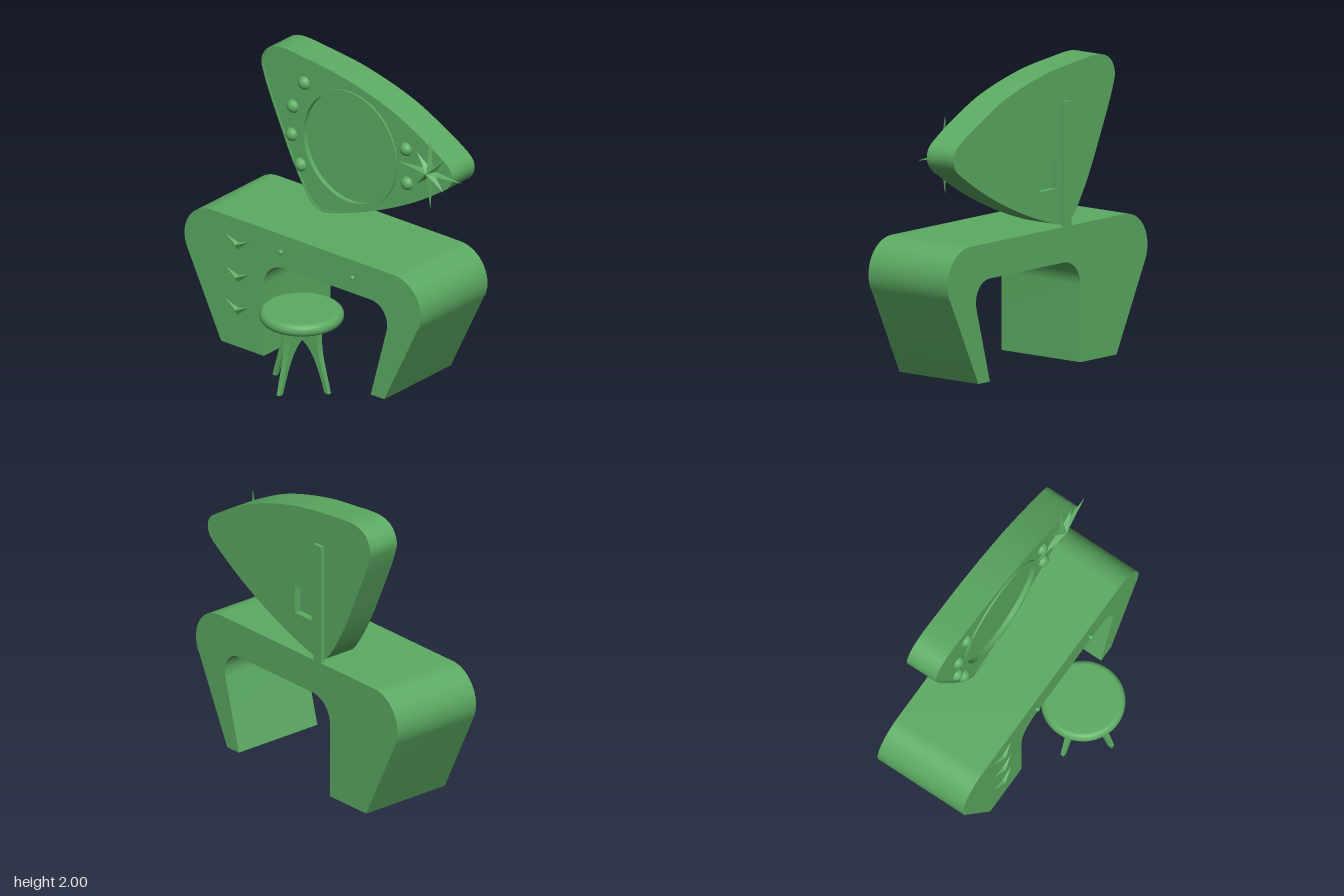
import * as THREE from 'three';
import { toCreasedNormals } from 'three/addons/utils/BufferGeometryUtils.js';

const material = new THREE.MeshStandardMaterial({ color: 0x5cab62 });

function add(parent, name, geometry, x = 0, y = 0, z = 0) {
  const mesh = new THREE.Mesh(geometry, material);
  mesh.name = name;
  mesh.position.set(x, y, z);
  parent.add(mesh);
  return mesh;
}

// Extrude a shape from z0 to z1, smooth on curves and sharp on corners
function slab(shape, z0, z1) {
  const g = new THREE.ExtrudeGeometry(shape, { depth: z1 - z0, bevelEnabled: false, curveSegments: 32 });
  g.translate(0, 0, z0);
  return toCreasedNormals(g, 0.5);
}

// Faceted low pyramid over a counter-clockwise outline, with a flat back
function facetedPyramid(outline, apex) {
  const v = [];
  outline.forEach(([x, y], i) => {
    const [nx, ny] = outline[(i + 1) % outline.length];
    v.push(x, y, 0, nx, ny, 0, ...apex);
    v.push(nx, ny, 0, x, y, 0, apex[0], apex[1], 0);
  });
  const g = new THREE.BufferGeometry();
  g.setAttribute('position', new THREE.Float32BufferAttribute(v, 3));
  g.computeVertexNormals();
  return g;
}

function buildDesk() {
  const desk = new THREE.Group();
  desk.name = 'desk';
  const s = new THREE.Shape();
  s.moveTo(-0.69, 0);
  s.lineTo(-0.33, 0);
  s.lineTo(-0.33, 0.51);
  s.absarc(-0.16, 0.51, 0.17, Math.PI, Math.PI / 2, true);
  s.lineTo(0.575, 0.68);
  s.bezierCurveTo(0.67, 0.68, 0.735, 0.59, 0.708, 0.49);
  s.lineTo(0.575, 0);
  s.lineTo(0.69, 0);
  s.lineTo(0.975, 0.588);
  s.absarc(0.77, 0.685, 0.23, -0.44, Math.PI / 2, false);
  s.lineTo(-0.77, 0.915);
  s.absarc(-0.77, 0.685, 0.23, Math.PI / 2, Math.PI + 0.44, false);
  s.closePath();
  add(desk, 'deskBody', slab(s, -0.557, 0.115));

  // Chevron drawer pulls
  const chevron = [[-0.1, 0.03], [-0.05, -0.012], [0, -0.055], [0.05, -0.012], [0.1, 0.03], [0.045, 0.012], [0, 0]];
  const pull = facetedPyramid(chevron, [0, -0.018, 0.024]);
  for (const y of [0.752, 0.517, 0.283]) add(desk, 'drawerPull', pull, -0.55, y, 0.115);

  // Round knobs on short necks
  for (const x of [-0.173, 0.433]) {
    add(desk, 'knob', new THREE.SphereGeometry(0.017, 20, 14), x, 0.797, 0.13);
    add(desk, 'knobNeck', new THREE.CylinderGeometry(0.008, 0.008, 0.02, 12).rotateX(Math.PI / 2), x, 0.797, 0.118);
  }
  return desk;
}

function buildMirror() {
  const mirror = new THREE.Group();
  mirror.name = 'mirror';
  const cx = 0.04, cy = 1.45;
  const points = [
    [-0.565, 1.995], [-0.655, 1.955], [-0.703, 1.865], [-0.68, 1.76], [-0.56, 1.475], [-0.42, 1.18],
    [-0.295, 0.983], [-0.25, 0.94], [-0.195, 0.924], [-0.125, 0.935], [0.1, 1.006], [0.35, 1.108],
    [0.6, 1.235], [0.81, 1.368], [0.885, 1.425], [0.912, 1.49], [0.895, 1.553], [0.835, 1.602],
    [0.62, 1.725], [0.38, 1.835], [0.01, 1.937], [-0.28, 1.978],
  ].map(([x, y]) => new THREE.Vector3(x, y, 0));
  const curve = new THREE.CatmullRomCurve3(points, true);
  // Sampled outline, moved inwards by d
  const outline = (d) => {
    const list = [];
    for (let i = 0; i < 140; i++) {
      const p = curve.getPointAt(i / 140), t = curve.getTangentAt(i / 140);
      list.push(new THREE.Vector2(p.x - t.y * d, p.y + t.x * d));
    }
    return list;
  };

  // Back layer with a rectangular pocket
  const back = new THREE.Shape(outline(0));
  back.holes.push(new THREE.Path([[-0.12, 1.17], [-0.12, 1.36], [0.045, 1.36], [0.045, 1.17]]
    .map(([x, y]) => new THREE.Vector2(x, y))));
  add(mirror, 'backPanel', slab(back, -0.533, -0.485));
  add(mirror, 'panelCore', slab(new THREE.Shape(outline(0)), -0.485, -0.336));

  // Front layer with the round opening, and a thin raised rim
  const front = new THREE.Shape(outline(0));
  const opening = new THREE.Path();
  opening.absarc(cx, cy, 0.385, 0, Math.PI * 2, true);
  front.holes.push(opening);
  add(mirror, 'frontPanel', slab(front, -0.336, -0.313));
  const rim = new THREE.Shape(outline(0));
  rim.holes.push(new THREE.Path(outline(0.012).reverse()));
  add(mirror, 'rim', slab(rim, -0.313, -0.306));

  add(mirror, 'mirrorGlass', new THREE.CircleGeometry(0.386, 64), cx, cy, -0.333);
  const ring = new THREE.Shape();
  ring.absarc(0, 0, 0.405, 0, Math.PI * 2, false);
  const ringHole = new THREE.Path();
  ringHole.absarc(0, 0, 0.382, 0, Math.PI * 2, true);
  ring.holes.push(ringHole);
  add(mirror, 'mirrorRing', slab(ring, -0.334, -0.3), cx, cy, 0);

  // Light bulbs either side of the glass
  const bulbs = [[-0.345, 1.8], [-0.44, 1.605], [-0.45, 1.4], [-0.375, 1.205], [0.517, 1.587], [0.526, 1.345]];
  for (const [x, y] of bulbs) add(mirror, 'bulb', new THREE.SphereGeometry(0.048, 28, 20), x, y, -0.321);

  // Eight-pointed starburst
  const star = [];
  for (let i = 0; i < 16; i++) {
    const r = i % 2 ? 0.05 : i % 4 ? 0.16 : 0.267, a = (i * Math.PI) / 8;
    star.push([r * Math.cos(a), r * Math.sin(a)]);
  }
  add(mirror, 'starburst', facetedPyramid(star, [0, 0, 0.044]), 0.728, 1.486, -0.305);

  // Rear post holding the mirror on the desk
  add(mirror, 'supportPost', new THREE.BoxGeometry(0.075, 0.825, 0.026), -0.203, 1.327, -0.544);
  return mirror;
}

function buildStool() {
  const stool = new THREE.Group();
  stool.name = 'stool';
  stool.position.set(0.13, 0, 0.28);

  // Cushion with a rounded edge
  const profile = [new THREE.Vector2(0, 0.455)];
  for (let i = 0; i <= 14; i++) {
    const a = -Math.PI / 2 + (i * Math.PI) / 14;
    profile.push(new THREE.Vector2(0.237 + 0.039 * Math.cos(a), 0.4975 + 0.0425 * Math.sin(a)));
  }
  profile.push(new THREE.Vector2(0, 0.54));
  add(stool, 'seat', new THREE.LatheGeometry(profile, 56));
  add(stool, 'seatPlate', new THREE.CylinderGeometry(0.165, 0.165, 0.024, 48), 0, 0.445, 0);

  // Four splayed legs meeting in an arch, thinner towards the foot
  const s = new THREE.Shape();
  s.moveTo(0, 0.436);
  s.lineTo(0, 0.338);
  s.bezierCurveTo(0.1, 0.31, 0.145, 0.19, 0.205, 0);
  s.lineTo(0.237, 0);
  s.bezierCurveTo(0.19, 0.17, 0.148, 0.25, 0.148, 0.436);
  s.closePath();
  let leg = new THREE.ExtrudeGeometry(s, { depth: 1, bevelEnabled: false, curveSegments: 20 });
  const p = leg.attributes.position;
  for (let i = 0; i < p.count; i++) {
    p.setZ(i, (p.getZ(i) - 0.5) * THREE.MathUtils.lerp(0.026, 0.054, p.getY(i) / 0.436));
  }
  leg = toCreasedNormals(leg, 0.5);
  for (let i = 0; i < 4; i++) add(stool, 'leg', leg).rotation.y = (i * Math.PI) / 2;
  return stool;
}

export function createModel() {
  const model = new THREE.Group();
  model.name = 'vanityTable';
  model.add(buildDesk(), buildMirror(), buildStool());
  return model;
}
